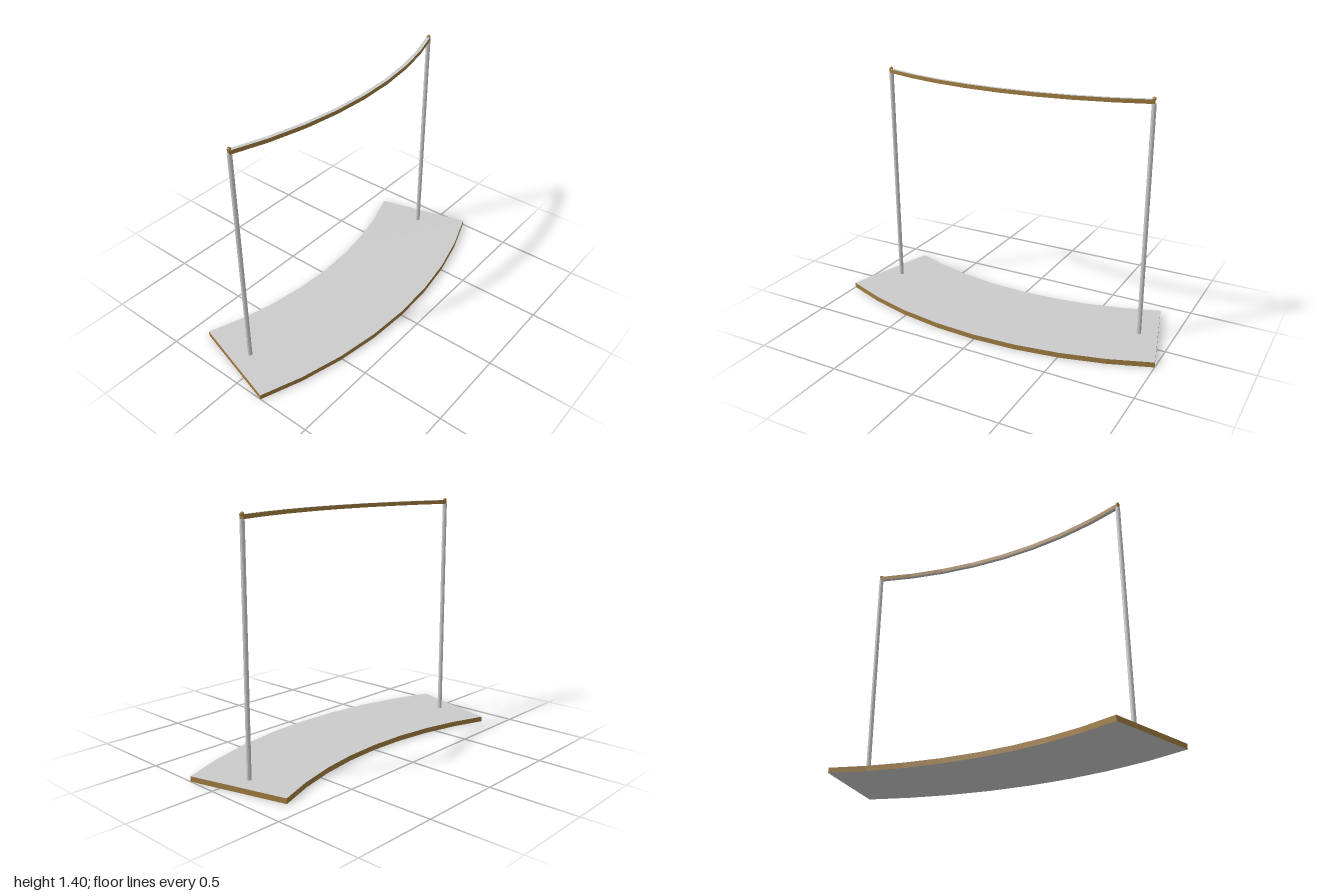
import * as THREE from 'three';

const grey = new THREE.MeshStandardMaterial({ color: 0xcccccc, flatShading: true });
const brown = new THREE.MeshStandardMaterial({ color: 0xa07c40, flatShading: true });

// Points along a shallow arc bulging to the front, from -halfWidth to +halfWidth
function arcPoints(halfWidth, endZ, apexZ, segments = 8) {
  const sag = apexZ - endZ;
  const radius = (halfWidth * halfWidth + sag * sag) / (2 * sag);
  const sweep = Math.asin(halfWidth / radius);
  return Array.from({ length: segments + 1 }, (_, i) => {
    const a = sweep * (2 * i / segments - 1);
    // shape y is -z, so that the extrusion can be laid flat
    return new THREE.Vector2(radius * Math.sin(a), -(apexZ - radius + radius * Math.cos(a)));
  });
}

// Curved slab between two arcs: grey top and bottom, brown edges
function curvedSlab(name, front, back, y, thickness) {
  const shape = new THREE.Shape([...front, ...back.reverse()]);
  const geometry = new THREE.ExtrudeGeometry(shape, { depth: thickness, bevelEnabled: false });
  geometry.rotateX(-Math.PI / 2);
  const mesh = new THREE.Mesh(geometry, [grey, brown]);
  mesh.name = name;
  mesh.position.y = y;
  return mesh;
}

export function createModel() {
  const model = new THREE.Group();
  model.name = 'curvedStand';

  // Curved floor platform
  model.add(curvedSlab('platform',
    arcPoints(1, 0.18, 0.385), arcPoints(0.845, -0.388, -0.22), 0, 0.03));

  // Thin curved rail across the top
  model.add(curvedSlab('topRail',
    arcPoints(0.828, -0.067, 0.086), arcPoints(0.821, -0.088, 0.064), 1.364, 0.023));

  // Posts with small round finials
  for (const side of [-1, 1]) {
    const post = new THREE.Mesh(new THREE.CylinderGeometry(0.013, 0.013, 1.335, 12), grey);
    post.name = side > 0 ? 'leftPost' : 'rightPost';
    post.position.set(side * 0.819, 0.03 + 1.335 / 2, -0.076);

    const finial = new THREE.Mesh(new THREE.SphereGeometry(0.011, 10, 8), brown);
    finial.name = side > 0 ? 'leftFinial' : 'rightFinial';
    finial.position.set(side * 0.819, 1.389, -0.076);
    model.add(post, finial);
  }
  return model;
}
